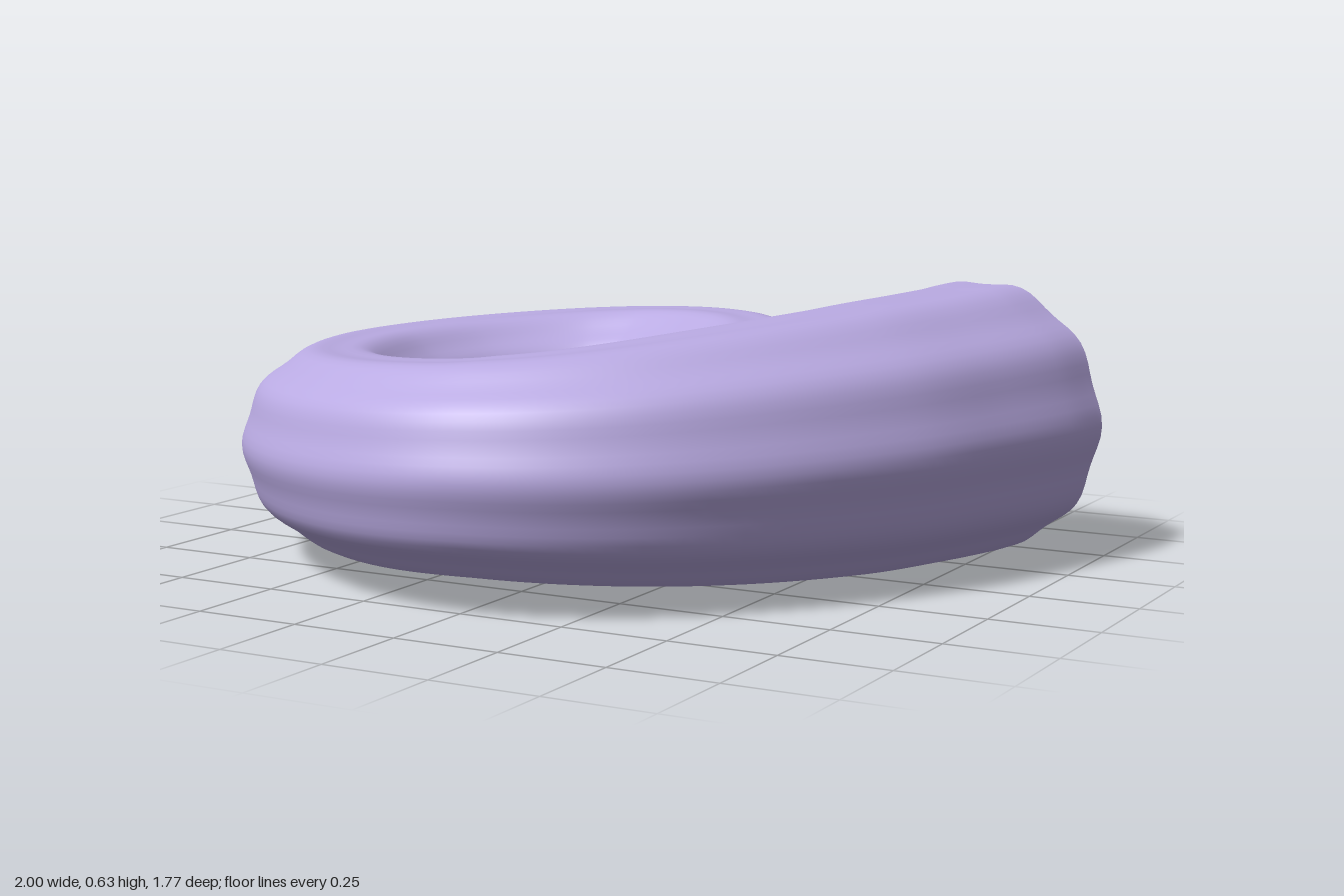
import * as THREE from 'three';

const SIDES = 80, LOBES = 10, STEPS = 280;

// Outer edge of the coil from mouth to tip, seen from above: x, z, tube radius
const EDGE = [
  [1, -0.46, 0.316], [0.976, -0.32, 0.312], [0.915, -0.11, 0.306], [0.815, 0.16, 0.296],
  [0.63, 0.465, 0.278], [0.415, 0.695, 0.258], [0.19, 0.83, 0.242], [-0.035, 0.88, 0.232],
  [-0.29, 0.84, 0.228], [-0.56, 0.695, 0.225], [-0.8, 0.455, 0.223], [-0.95, 0.16, 0.222],
  [-1, -0.12, 0.222], [-0.93, -0.43, 0.222], [-0.77, -0.67, 0.222], [-0.56, -0.83, 0.222],
  [-0.32, -0.89, 0.222], [-0.08, -0.84, 0.222], [0.135, -0.71, 0.22], [0.29, -0.55, 0.216],
  [0.375, -0.34, 0.208], [0.365, -0.06, 0.2], [0.275, 0.21, 0.2], [0.12, 0.41, 0.2],
  [-0.08, 0.49, 0.195], [-0.3, 0.425, 0.172], [-0.47, 0.24, 0.145], [-0.565, 0, 0.12],
  [-0.56, -0.2, 0.112], [-0.47, -0.37, 0.11], [-0.32, -0.45, 0.108], [-0.15, -0.42, 0.105],
  [-0.03, -0.3, 0.098], [0.015, -0.15, 0.09], [-0.04, 0, 0.082], [-0.165, 0.07, 0.074],
  [-0.29, 0.01, 0.064], [-0.36, -0.11, 0.053], [-0.335, -0.205, 0.043], [-0.25, -0.24, 0.034],
  [-0.165, -0.19, 0.025], [-0.12, -0.11, 0.015],
];
const edge = new THREE.CatmullRomCurve3(EDGE.map(([x, z]) => new THREE.Vector3(x, 0, z)));
const girth = new THREE.CatmullRomCurve3(EDGE.map((p, i) => new THREE.Vector3(i * 0.1, p[2], 0)));
const AXIS = new THREE.Vector3(-0.2, 0, -0.14);

// One ribbed, upright cross-section at t, hung inward from the outer edge
function ring(t, scale, ripple = 0.02) {
  const e = edge.getPoint(t), T = edge.getTangent(t), r = girth.getPoint(t).y;
  // Across the path at the mouth, towards the coil axis in the tight inner turns
  const out = new THREE.Vector3(T.z, 0, -T.x)
    .lerp(e.clone().sub(AXIS).normalize(), THREE.MathUtils.smoothstep(t, 0.35, 0.6)).normalize();
  const wide = r * 1.02, high = r * 1.03;
  const cx = e.x - out.x * wide, cz = e.z - out.z * wide;
  // The coil leans a little down towards -x
  const cy = 0.31 + 0.06 * Math.min(cx, 0) + 0.02 * Math.max(cx, 0);
  return Array.from({ length: SIDES }, (_, j) => {
    const a = (j / SIDES) * Math.PI * 2;
    const q = scale * (1 - ripple + ripple * Math.cos(LOBES * a));
    const u = wide * q * Math.cos(a);
    return [cx + out.x * u, cy + high * q * Math.sin(a), cz + out.z * u];
  });
}

// Closed-round skin over a list of rings
function skin(name, rings, material) {
  const index = [];
  for (let i = 0; i < rings.length - 1; i++) {
    for (let j = 0; j < SIDES; j++) {
      const a = i * SIDES + j, b = i * SIDES + ((j + 1) % SIDES);
      index.push(a, b, b + SIDES, a, b + SIDES, a + SIDES);
    }
  }
  const geo = new THREE.BufferGeometry();
  geo.setAttribute('position', new THREE.Float32BufferAttribute(rings.flat(2), 3));
  geo.setIndex(index);
  geo.computeVertexNormals();
  const mesh = new THREE.Mesh(geo, material);
  mesh.name = name;
  return mesh;
}

export function createModel() {
  const group = new THREE.Group();
  group.name = 'spiralShell';
  const material = new THREE.MeshStandardMaterial({ color: 0xb9aae2 });

  // Coiled outer wall, closed at the tip
  const outer = Array.from({ length: STEPS + 1 }, (_, i) => ring(i / STEPS, 1));
  outer.push(ring(1, 0));
  group.add(skin('outerWall', outer, material));

  // Rim around the mouth
  group.add(skin('mouthRim', [ring(0, 0.8, 0.05), ring(0, 1)], material));

  // Hollow lining, running from deep inside out to the mouth
  const depth = 0.4, n = 110;
  const lining = [ring(depth, 0)];
  for (let i = n; i >= 0; i--) lining.push(ring((i / n) * depth, 0.8, 0.05));
  group.add(skin('innerLining', lining, material));

  return group;
}
